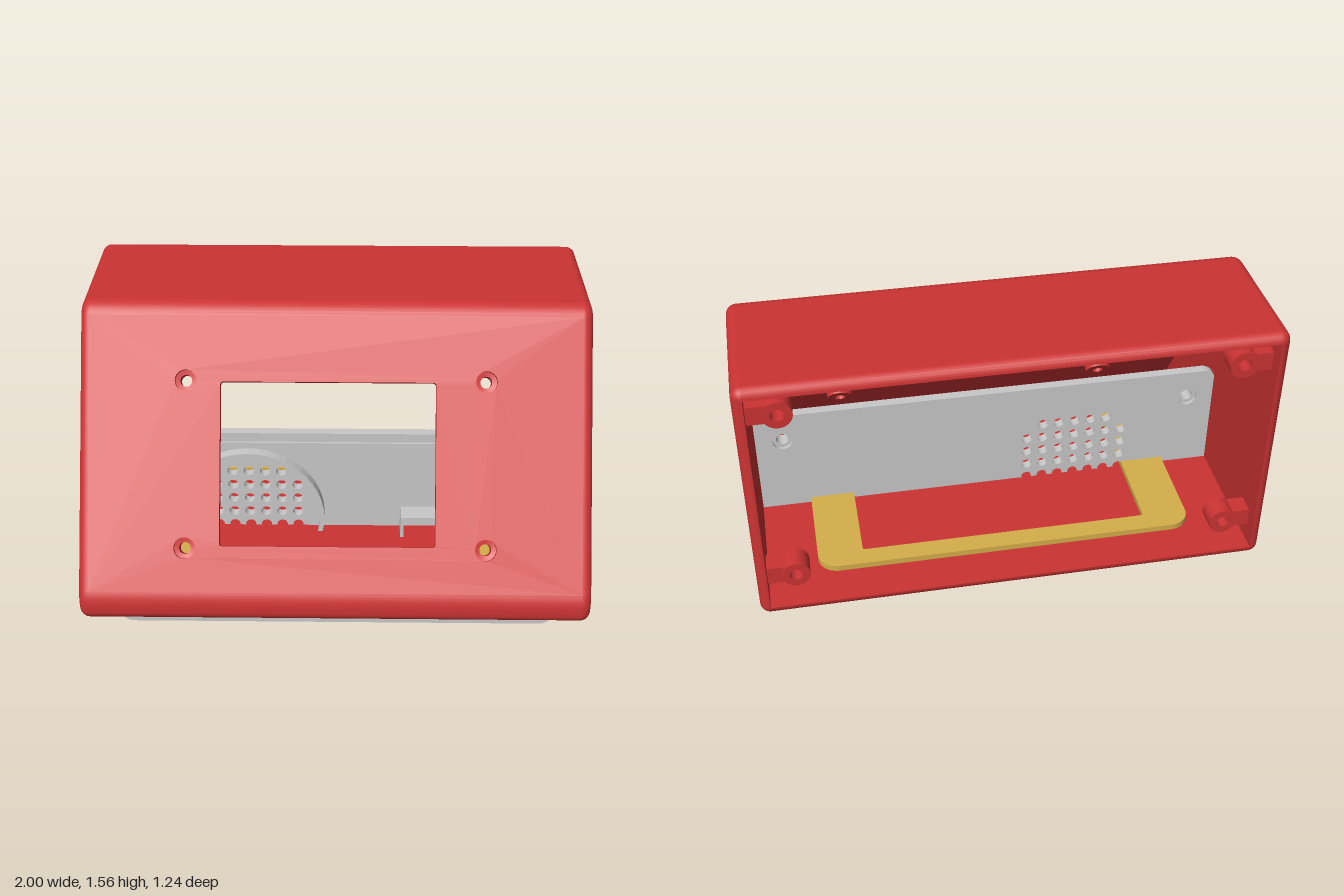
import * as THREE from 'three';

const red = new THREE.MeshStandardMaterial({ color: 0xcc3333, side: THREE.DoubleSide });
red.name = 'shell red';
const grey = new THREE.MeshStandardMaterial({ color: 0xc8c8c8 });
grey.name = 'panel grey';
const gold = new THREE.MeshStandardMaterial({ color: 0xd4af4a });
gold.name = 'gold';

const WALL = 0.04; // wall thickness, also the edge rounding
// Side profile corners as [z, y, fillet radius], from the bottom back edge round to the top back edge
const CORNERS = [[-0.62, 0.5, 0.04], [0.62, 0.5, 0.045], [0.62, 0.6, 0.12], [-0.03, 1.56, 0.085], [-0.62, 1.56, 0.04]];
const STEPS = 6;

function add(parent, name, geometry, material, x = 0, y = 0, z = 0) {
  const m = new THREE.Mesh(geometry, material);
  m.name = name;
  m.position.set(x, y, z);
  parent.add(m);
  return m;
}

function roundRect(target, x0, y0, x1, y1, r) {
  target.absarc(x1 - r, y0 + r, r, -Math.PI / 2, 0);
  target.absarc(x1 - r, y1 - r, r, 0, Math.PI / 2);
  target.absarc(x0 + r, y1 - r, r, Math.PI / 2, Math.PI);
  target.absarc(x0 + r, y0 + r, r, Math.PI, Math.PI * 1.5);
  target.closePath();
  return target;
}
const circle = (x, y, r) => new THREE.Path().absarc(x, y, r, 0, Math.PI * 2);

function extrude(shape, depth) {
  return new THREE.ExtrudeGeometry(shape, { depth, bevelEnabled: false, curveSegments: 12 });
}
// Rectangular frame [x0, y0, x1, y1] with a border w
function frame([x0, y0, x1, y1], wx, wy, r, ri, depth) {
  const s = roundRect(new THREE.Shape(), x0, y0, x1, y1, r);
  s.holes.push(roundRect(new THREE.Path(), x0 + wx, y0 + wy, x1 - wx, y1 - wy, ri));
  return extrude(s, depth);
}
function ring(ro, ri, depth) {
  const s = new THREE.Shape().absarc(0, 0, ro, 0, Math.PI * 2);
  s.holes.push(circle(0, 0, ri));
  return new THREE.ExtrudeGeometry(s, { depth, bevelEnabled: false, curveSegments: 24 });
}

// Profile corners moved inwards by d
function insetCorners(d) {
  const n = CORNERS.length, p = CORNERS.map(c => new THREE.Vector2(c[0], c[1]));
  return p.map((c, i) => {
    const a = c.clone().sub(p[(i + n - 1) % n]).normalize();
    const b = p[(i + 1) % n].clone().sub(c).normalize();
    const na = new THREE.Vector2(-a.y, a.x), nb = new THREE.Vector2(-b.y, b.x);
    return c.clone().addScaledVector(na.clone().add(nb), d / (1 + na.dot(nb)));
  });
}
// Filleted profile moved inwards by d
function profile(d) {
  const p = insetCorners(d), n = p.length, out = [];
  p.forEach((c, i) => {
    const a = c.clone().sub(p[(i + n - 1) % n]).normalize();
    const b = p[(i + 1) % n].clone().sub(c).normalize();
    const turn = Math.acos(a.dot(b)), r = Math.max(CORNERS[i][2] - d, 0.002);
    const start = c.clone().addScaledVector(a, -r * Math.tan(turn / 2));
    const inward = new THREE.Vector2(-a.y, a.x);
    for (let k = 0; k <= STEPS; k++) {
      const t = turn * k / STEPS;
      out.push(start.clone().addScaledVector(a, r * Math.sin(t)).addScaledVector(inward, r * (1 - Math.cos(t))));
    }
  });
  return out;
}

// Skin through rows of points; keep(row, column) tells which quads exist
function skin(rows, closed, keep) {
  const n = rows[0].length, index = [];
  for (let i = 0; i < rows.length - 1; i++) {
    for (let j = 0; j < (closed ? n : n - 1); j++) {
      if (!keep(i, j)) continue;
      const k = (j + 1) % n, a = i * n + j, b = i * n + k, c = a + n, e = b + n;
      index.push(a, c, b, b, c, e);
    }
  }
  const g = new THREE.BufferGeometry();
  g.setAttribute('position', new THREE.Float32BufferAttribute(rows.flat(2), 3));
  g.setIndex(index);
  g.computeVertexNormals();
  return g;
}
const rowAt = (pts, x) => pts.map(p => [x, p.y, p.x]);

function buildShell() {
  const g = new THREE.Group();
  g.name = 'shell';
  // Rounded outer skin, open at the back and where the sloped face sits
  const rows = [], K = 6;
  for (let k = 0; k <= K; k++) {
    const t = k / K * Math.PI / 2;
    rows.push(rowAt(profile(WALL * (1 - Math.sin(t))), -(1 - WALL + WALL * Math.cos(t))));
  }
  rows.push(...rows.map(r => r.map(([x, y, z]) => [-x, y, z])).reverse());
  const slopeStart = 3 * (STEPS + 1) - 1, last = 5 * (STEPS + 1) - 1;
  add(g, 'outerSkin', skin(rows, true, (i, j) => i !== K || (j !== slopeStart && j !== last)), red);

  // Flat side faces, outside and inside
  const inner = insetCorners(WALL);
  inner[0].x = inner[4].x = -0.62;
  for (const s of [-1, 1]) {
    const outerSide = add(g, 'sideFace', new THREE.ShapeGeometry(new THREE.Shape(profile(WALL))), red, s);
    const innerSide = add(g, 'innerSide', new THREE.ShapeGeometry(new THREE.Shape(inner)), red, s * (1 - WALL));
    outerSide.rotation.y = innerSide.rotation.y = -Math.PI / 2;
  }

  // Sloped front face with window and screw holes
  const outer = profile(0), P = outer[slopeStart], Q = outer[slopeStart + 1];
  const dir = Q.clone().sub(P), len = dir.length();
  dir.normalize();
  const up = y => (y - P.y) / dir.y, w = 1 - WALL;
  const face = new THREE.Shape([[-w, 0], [w, 0], [w, len], [-w, len]].map(v => new THREE.Vector2(...v)));
  face.holes.push(roundRect(new THREE.Path(), -0.45, up(0.78), 0.39, up(1.31), 0.012));
  const slope = new THREE.Group();
  slope.name = 'slopedFront';
  slope.position.set(0, P.y, P.x);
  slope.rotation.x = Math.atan2(dir.x, dir.y);
  g.add(slope);
  // Countersunk screw seats
  const seat = [[0.042, 0], [0.042, -0.02], [0.023, -0.025], [0.023, -0.075], [0.055, -0.075], [0.055, -0.03]]
    .map(v => new THREE.Vector2(...v));
  for (const x of [-0.585, 0.585]) for (const y of [0.773, 1.313]) {
    face.holes.push(circle(x, up(y), 0.042));
    add(slope, 'screwSeat', new THREE.LatheGeometry(seat, 24).toNonIndexed(), red, x, up(y), 0).rotation.x = Math.PI / 2;
  }
  slope.children.forEach(m => m.geometry.computeVertexNormals());
  add(slope, 'frontFace', extrude(face, WALL), red, 0, 0, -WALL);

  // Inner floor, front and ceiling
  const offset = p => p.clone().add(new THREE.Vector2(-dir.y, dir.x).multiplyScalar(WALL));
  for (const line of [[inner[0], inner[1], inner[2], offset(P)], [offset(Q), inner[3], inner[4]]]) {
    const geo = skin([rowAt(line, w), rowAt(line, -w)], false, () => true).toNonIndexed();
    geo.computeVertexNormals();
    add(g, 'innerSkin', geo, red);
  }

  // Corner posts for the back panel screws
  for (const s of [-1, 1]) for (const y of [0.65, 1.41]) {
    add(g, 'screwPost', ring(0.055, 0.025, 0.09), red, s * 0.85, y, -0.57);
    add(g, 'postRib', new THREE.BoxGeometry(0.09, 0.075, 0.08), red, s * 0.925, y, -0.52);
  }
  return g;
}

function buildPanel() {
  const g = new THREE.Group();
  g.name = 'backPanel';
  const plate = roundRect(new THREE.Shape(), -0.97, 0, 0.97, 1, 0.06);
  plate.holes.push(roundRect(new THREE.Path(), -0.11, 0.05, 0.11, 0.17, 0.015));
  // Speaker grille
  for (let i = -3; i <= 3; i++) for (let j = -3; j <= 3; j++) {
    if (Math.abs(i) === 3 && Math.abs(j) === 3) continue;
    plate.holes.push(circle(-0.365 + i * 0.0675, 0.612 + j * 0.0675, 0.022));
  }
  for (const x of [-0.85, 0.85]) for (const y of [0.125, 0.875]) {
    plate.holes.push(circle(x, y, 0.04));
    add(g, 'screwBoss', ring(0.052, 0.025, 0.06), grey, x, y, -0.005);
  }
  add(g, 'plate', extrude(plate, 0.04), grey, 0, 0, -0.02);
  add(g, 'rim', frame([-0.915, 0.04, 0.915, 0.96], 0.014, 0.014, 0.02, 0.012, 0.012), grey, 0, 0, 0.018);
  add(g, 'speakerRing', ring(0.315, 0.297, 0.047), grey, -0.365, 0.612, 0.018);
  add(g, 'roundHolder', ring(0.08, 0.07, 0.057), grey, 0.08, 0.247, 0.018);
  add(g, 'boxHolder', frame([0.27, 0.37, 0.595, 0.64], 0.014, 0.014, 0.006, 0.004, 0.085), grey, 0, 0, 0.018);
  return g;
}

function buildFloorFrame() {
  const g = new THREE.Group();
  g.name = 'floorFrame';
  const lay = (name, geo, y) => { add(g, name, geo, gold, 0, y, 0).rotation.x = -Math.PI / 2; };
  lay('frame', frame([-0.76, -0.46, 0.76, 0.46], 0.18, 0.08, 0.08, 0.01, 0.03), 0.535);
  // Thin outlines on the underside
  lay('outerOutline', frame([-0.93, -0.55, 0.93, 0.55], 0.015, 0.015, 0.06, 0.045, 0.004), 0.498);
  lay('innerOutline', frame([-0.75, -0.49, 0.75, 0.49], 0.02, 0.02, 0.06, 0.04, 0.004), 0.498);
  return g;
}

export function createModel() {
  const model = new THREE.Group();
  model.name = 'slopedEnclosure';
  model.add(buildShell(), buildPanel(), buildFloorFrame());
  return model;
}
